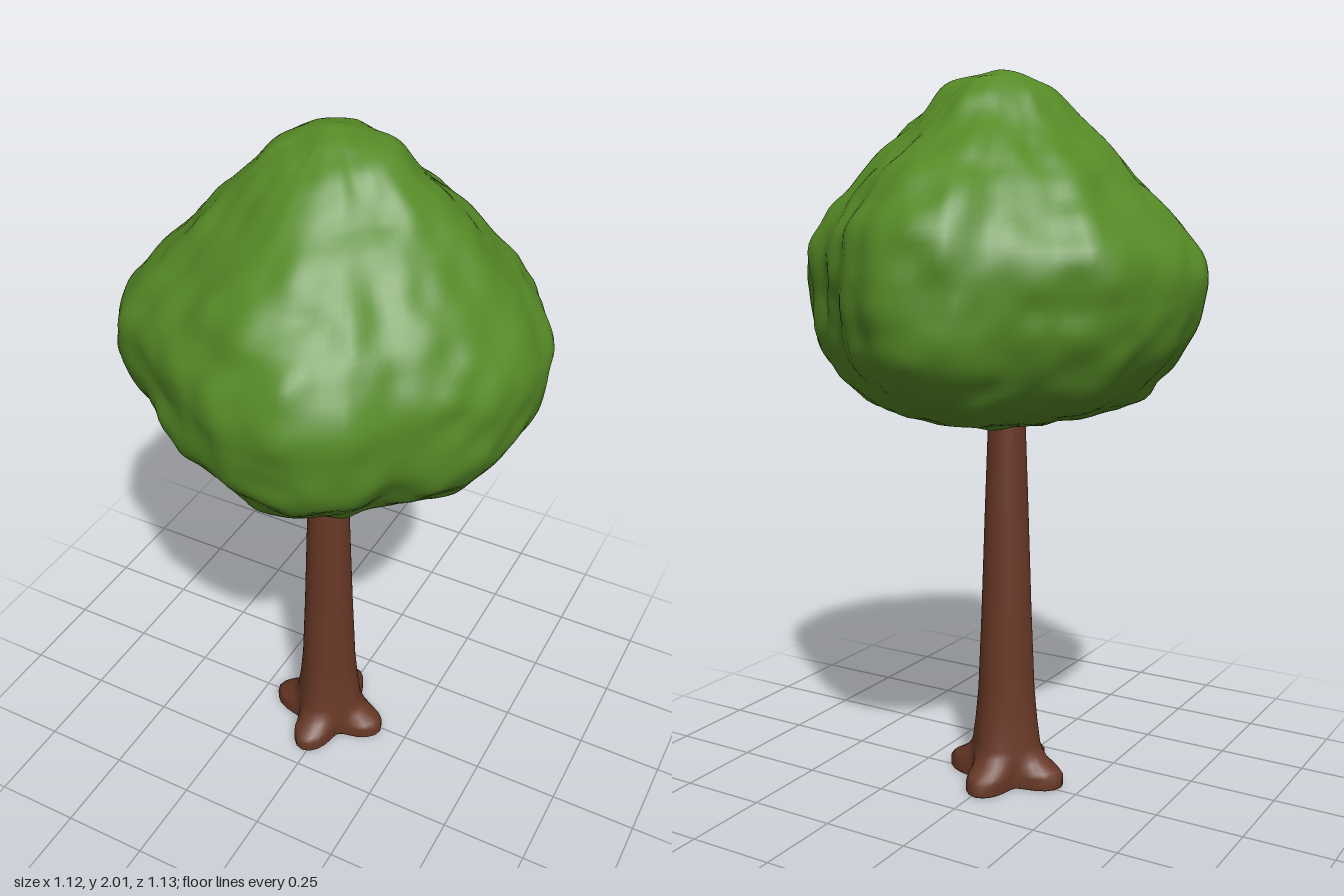
import * as THREE from 'three';
import { mergeVertices } from 'three/addons/utils/BufferGeometryUtils.js';

// Closed skin over rows of rings; point(row, angle) returns a Vector3
function loft(rows, segs, point) {
  const pos = [], idx = [];
  for (let r = 0; r < rows; r++) {
    for (let s = 0; s < segs; s++) {
      const p = point(r, (s / segs) * Math.PI * 2);
      pos.push(p.x, p.y, p.z);
      if (r === rows - 1) continue;
      const a = r * segs + s, b = r * segs + ((s + 1) % segs);
      idx.push(a, a + segs, b, b, a + segs, b + segs);
    }
  }
  const g = new THREE.BufferGeometry();
  g.setAttribute('position', new THREE.Float32BufferAttribute(pos, 3));
  g.setIndex(idx);
  const merged = mergeVertices(g, 1e-5);
  merged.computeVertexNormals();
  return merged;
}

// Smooth 3D value noise in -1..1
function hash(x, y, z) {
  let h = Math.imul(x, 374761393) ^ Math.imul(y, 668265263) ^ Math.imul(z, 1274126177);
  h = Math.imul(h ^ (h >>> 13), 1103515245);
  return ((h ^ (h >>> 16)) >>> 0) / 2147483647.5 - 1;
}
function noise(x, y, z) {
  const i = Math.floor(x), j = Math.floor(y), k = Math.floor(z);
  const f = (t) => t * t * (3 - 2 * t);
  const u = f(x - i), v = f(y - j), w = f(z - k);
  const L = THREE.MathUtils.lerp;
  const edge = (b, c) => L(hash(i, j + b, k + c), hash(i + 1, j + b, k + c), u);
  return L(L(edge(0, 0), edge(1, 0), v), L(edge(0, 1), edge(1, 1), v), w);
}

// Crown: side profiles for +x, +z, -x, -z at shared heights
const heights = [1.055, 1.06, 1.08, 1.13, 1.2, 1.3, 1.4, 1.5, 1.6, 1.7, 1.8, 1.9, 1.96, 1.99, 1.995];
const profiles = [
  [0, 0.12, 0.25, 0.4, 0.48, 0.54, 0.56, 0.56, 0.51, 0.42, 0.33, 0.22, 0.15, 0.08, 0],
  [0, 0.1, 0.22, 0.38, 0.45, 0.53, 0.55, 0.55, 0.5, 0.42, 0.31, 0.2, 0.12, 0.07, 0],
  [0, 0.1, 0.22, 0.38, 0.45, 0.52, 0.555, 0.555, 0.49, 0.38, 0.3, 0.2, 0.14, 0.07, 0],
  [0, 0.12, 0.25, 0.39, 0.48, 0.54, 0.555, 0.555, 0.535, 0.46, 0.34, 0.22, 0.14, 0.08, 0],
].map((list) => {
  const max = Math.max(...list);
  return new THREE.CatmullRomCurve3(list.map((r, i) => new THREE.Vector3(r / max, heights[i], 0)));
});
// Crown outline radius from above, every 15 degrees from +x towards +z
const outline = [0.56, 0.545, 0.53, 0.505, 0.545, 0.56, 0.545, 0.515, 0.5, 0.51, 0.555, 0.56,
  0.55, 0.53, 0.545, 0.505, 0.505, 0.55, 0.56, 0.525, 0.485, 0.485, 0.525, 0.55];

function crownGeometry() {
  const rows = 76, segs = 132, centre = new THREE.Vector3(0, 1.45, 0);
  return loft(rows, segs, (r, a) => {
    // blend the two nearest side profiles
    const q = a / (Math.PI / 2), k = Math.floor(q) % 4, t = q - Math.floor(q);
    const p = profiles[k].getPoint(r / (rows - 1));
    p.lerp(profiles[(k + 1) % 4].getPoint(r / (rows - 1)), t * t * (3 - 2 * t));
    const o = (a / (Math.PI * 2)) * 24, n = Math.floor(o) % 24, w = o - Math.floor(o);
    const radius = p.x * THREE.MathUtils.lerp(outline[n], outline[(n + 1) % 24], w * w * (3 - 2 * w));
    const v = new THREE.Vector3(Math.cos(a) * radius, p.y, Math.sin(a) * radius);
    // leafy lumps
    const lump = 0.012 * noise(v.x * 7 + 20, v.y * 7, v.z * 7 + 20)
      + 0.009 * noise(v.x * 15 + 40, v.y * 15, v.z * 15 + 40);
    return v.addScaledVector(v.clone().sub(centre).normalize(), lump);
  });
}

// Trunk rings: height, radius, root spread
const rings = [
  [0, 0, 0], [0, 0.098, 0.08], [0.004, 0.1, 0.083], [0.035, 0.1, 0.083], [0.048, 0.1, 0.07],
  [0.07, 0.1, 0.032], [0.09, 0.099, 0.014], [0.11, 0.095, 0.009], [0.18, 0.088, 0.005],
  [0.27, 0.081, 0.002], [0.5, 0.072, 0], [0.8, 0.062, 0], [1.05, 0.053, 0], [1.2, 0.048, 0], [1.2, 0, 0],
];
function trunkGeometry() {
  return loft(rings.length, 48, (r, a) => {
    const [y, base, spread] = rings[r];
    const radius = base + spread * Math.cos(2 * a) ** 2;
    return new THREE.Vector3(-0.013 + Math.cos(a) * radius, y, 0.016 + Math.sin(a) * radius);
  });
}

export function createModel() {
  const leafGreen = new THREE.MeshStandardMaterial({ color: 0x568a26 });
  leafGreen.name = 'leafGreen';
  const barkBrown = new THREE.MeshStandardMaterial({ color: 0x683826 });
  barkBrown.name = 'barkBrown';

  const tree = new THREE.Group();
  tree.name = 'tree';
  const crown = new THREE.Mesh(crownGeometry(), leafGreen);
  crown.name = 'crown';
  const trunk = new THREE.Mesh(trunkGeometry(), barkBrown);
  trunk.name = 'trunk';
  tree.add(crown, trunk);
  return tree;
}
